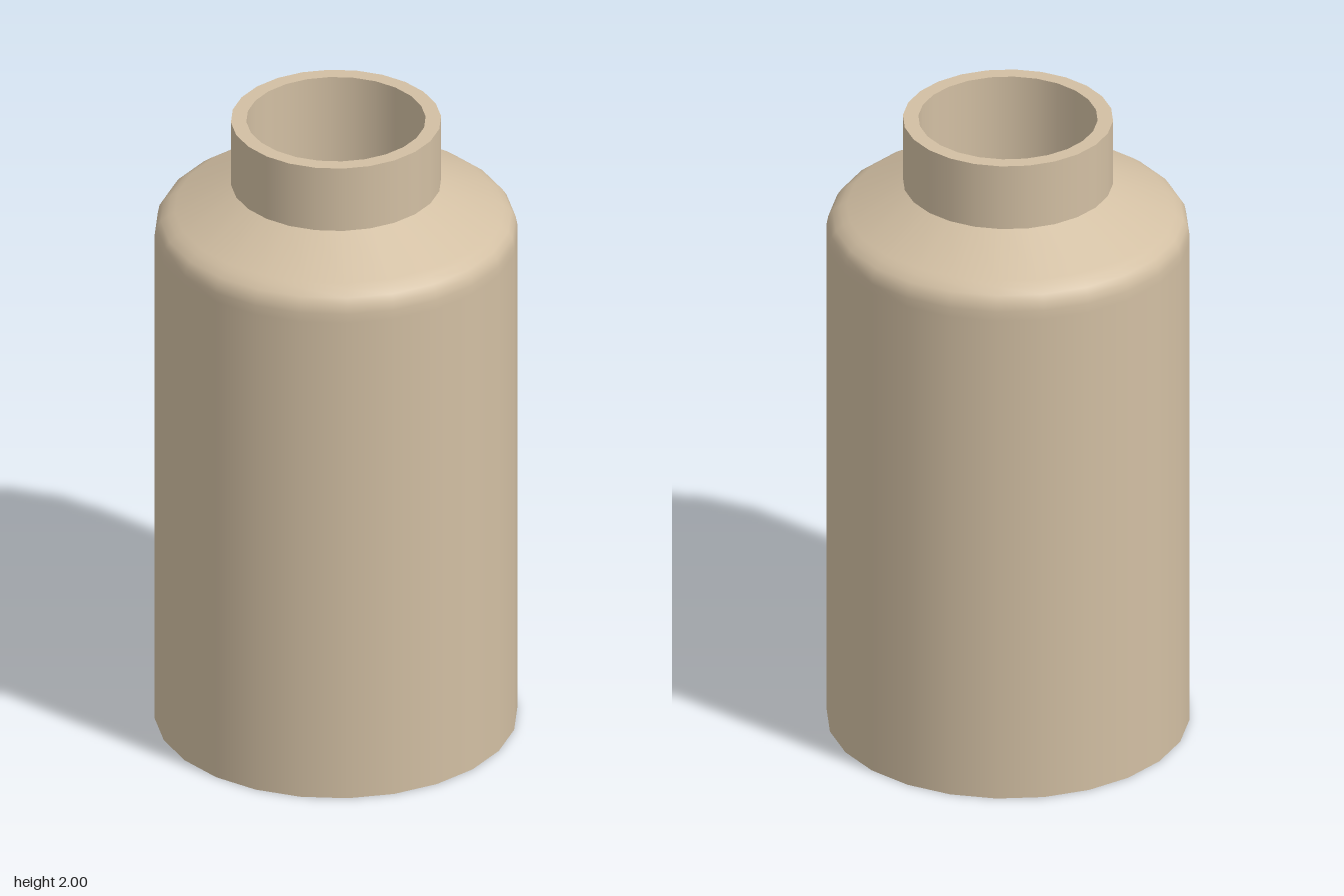
import * as THREE from 'three';

const SIDES = 24;

export function createModel() {
  const bottle = new THREE.Group();
  bottle.name = 'bottle';

  const clay = new THREE.MeshStandardMaterial({ color: 0xd2bfa3 });
  clay.name = 'beige';

  // Each part is its own lathe, so edges between parts stay sharp
  const addRing = (name, profile) => {
    const points = profile.map(([r, y]) => new THREE.Vector2(r, y));
    const mesh = new THREE.Mesh(new THREE.LatheGeometry(points, SIDES), clay);
    mesh.name = name;
    bottle.add(mesh);
  };

  const body = 0.54, neck = 0.313, bore = 0.267;
  const neckBase = 1.79, top = 2, floor = 0.05;

  addRing('base', [[0, 0], [body, 0]]);

  // Straight wall, rounded edge and sloping shoulder
  addRing('bodyAndShoulder', [
    [body, 0], [body, 1.6], [body, 1.63], [0.535, 1.655], [0.522, 1.675],
    [0.5, 1.692], [0.48, 1.703], [neck, neckBase],
  ]);

  addRing('neck', [[neck, neckBase], [neck, top]]);
  addRing('rim', [[neck, top], [bore, top]]);

  // Open inside
  addRing('innerWall', [[bore, top], [bore, floor]]);
  addRing('innerFloor', [[bore, floor], [0, floor]]);

  return bottle;
}
